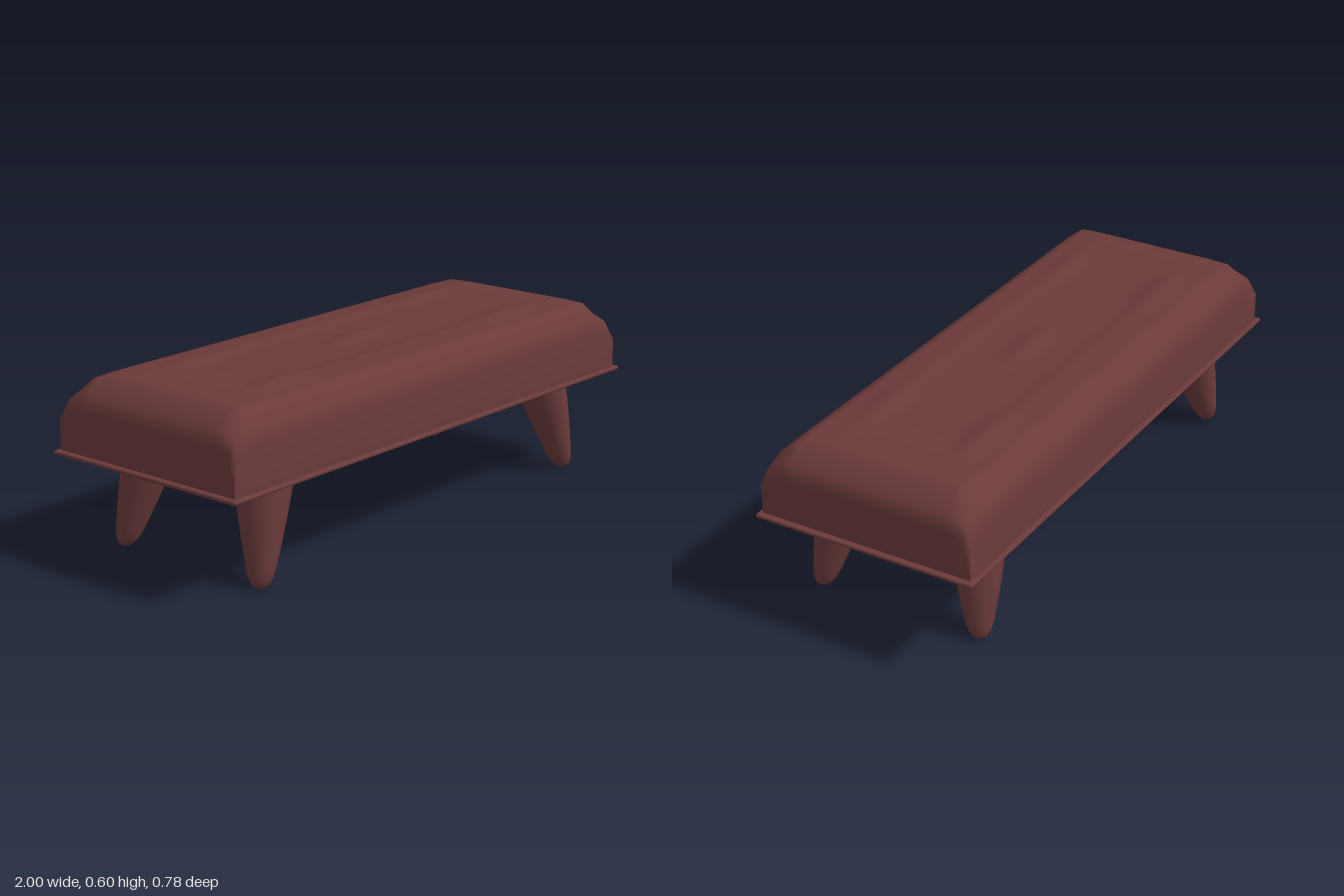
import * as THREE from 'three';
import { RoundedBoxGeometry } from 'three/addons/geometries/RoundedBoxGeometry.js';

const HX = 0.98, HZ = 0.376;
const buttons = [[0, 0], [-0.56, -0.18], [0.56, -0.18], [-0.56, 0.18], [0.56, 0.18]];

// Grid lines across the cushion: skirt, shoulder, then even steps
function gridLines(half, count) {
  const inner = half - 0.08, lines = [-half, -half, -half + 0.024, -inner];
  for (let i = 1; i < count; i++) lines.push(-inner + (2 * inner * i) / count);
  return lines.concat([inner, half - 0.024, half, half]);
}

// How far the edge has dropped at a distance in from the rim
function drop(d) {
  const steps = [[0, 0.102], [0.024, 0.056], [0.08, 0.009], [0.19, 0]];
  for (let i = 1; i < steps.length; i++) {
    const [a, ya] = steps[i - 1], [b, yb] = steps[i];
    if (d <= b) return ya + ((yb - ya) * (d - a)) / (b - a);
  }
  return 0;
}

function topHeight(x, z) {
  const edge = Math.hypot(drop(HX - Math.abs(x)), drop(HZ - Math.abs(z)));
  let y = 0.592 - edge;
  // Sunken middle panel between the two long folds
  y -= 0.008 * THREE.MathUtils.smoothstep(0.19 - Math.abs(z), 0, 0.04)
    * THREE.MathUtils.smoothstep(0.8 - Math.abs(x), 0, 0.2);
  // Small raised tufts
  for (const [bx, bz] of buttons) {
    const k = Math.max(0, 1 - Math.hypot((x - bx) / 0.17, (z - bz) / 0.06));
    y += (0.6 - y) * k;
  }
  return y;
}

function cushionGeometry() {
  const xs = gridLines(HX, 48), zs = gridLines(HZ, 30);
  const nx = xs.length, nz = zs.length;
  const geo = new THREE.PlaneGeometry(1, 1, nx - 1, nz - 1);
  const pos = geo.attributes.position;
  for (let j = 0; j < nz; j++) {
    for (let i = 0; i < nx; i++) {
      const rim = i === 0 || j === 0 || i === nx - 1 || j === nz - 1;
      pos.setXYZ(j * nx + i, xs[i], rim ? 0.34 : topHeight(xs[i], zs[j]), zs[j]);
    }
  }
  geo.computeVertexNormals();
  return geo;
}

// Tapered round-tipped leg, sheared so that it splays outward
function legGeometry(sx, sz) {
  const profile = [[0, 0], [0.016, 0.003], [0.028, 0.013], [0.038, 0.03], [0.047, 0.06], [0.055, 0.1],
    [0.065, 0.15], [0.074, 0.2], [0.085, 0.27], [0.094, 0.338]];
  const geo = new THREE.LatheGeometry(profile.map(([r, y]) => new THREE.Vector2(r, y)), 28);
  const pos = geo.attributes.position;
  for (let i = 0; i < pos.count; i++) {
    const t = 1 - pos.getY(i) / 0.338;
    pos.setX(i, pos.getX(i) + sx * (0.712 + 0.082 * t));
    pos.setZ(i, pos.getZ(i) + sz * (0.24 + 0.055 * t));
  }
  geo.computeVertexNormals();
  return geo;
}

export function createModel() {
  const group = new THREE.Group();
  const leather = new THREE.MeshStandardMaterial({ color: 0x6b3a3a, side: THREE.DoubleSide });
  const add = (name, geo) => {
    const mesh = new THREE.Mesh(geo, leather);
    mesh.name = name;
    group.add(mesh);
    return mesh;
  };

  add('cushion', cushionGeometry());

  // Thin base panel with a rounded rim
  add('base', new RoundedBoxGeometry(2, 0.014, 0.784, 4, 0.007)).position.y = 0.34;

  // Four splayed legs
  for (const sx of [-1, 1]) {
    for (const sz of [-1, 1]) {
      const name = (sz > 0 ? 'front' : 'back') + (sx > 0 ? 'Left' : 'Right') + 'Leg';
      add(name, legGeometry(sx, sz)).position.set(-0.004, 0, 0.006);
    }
  }
  return group;
}
